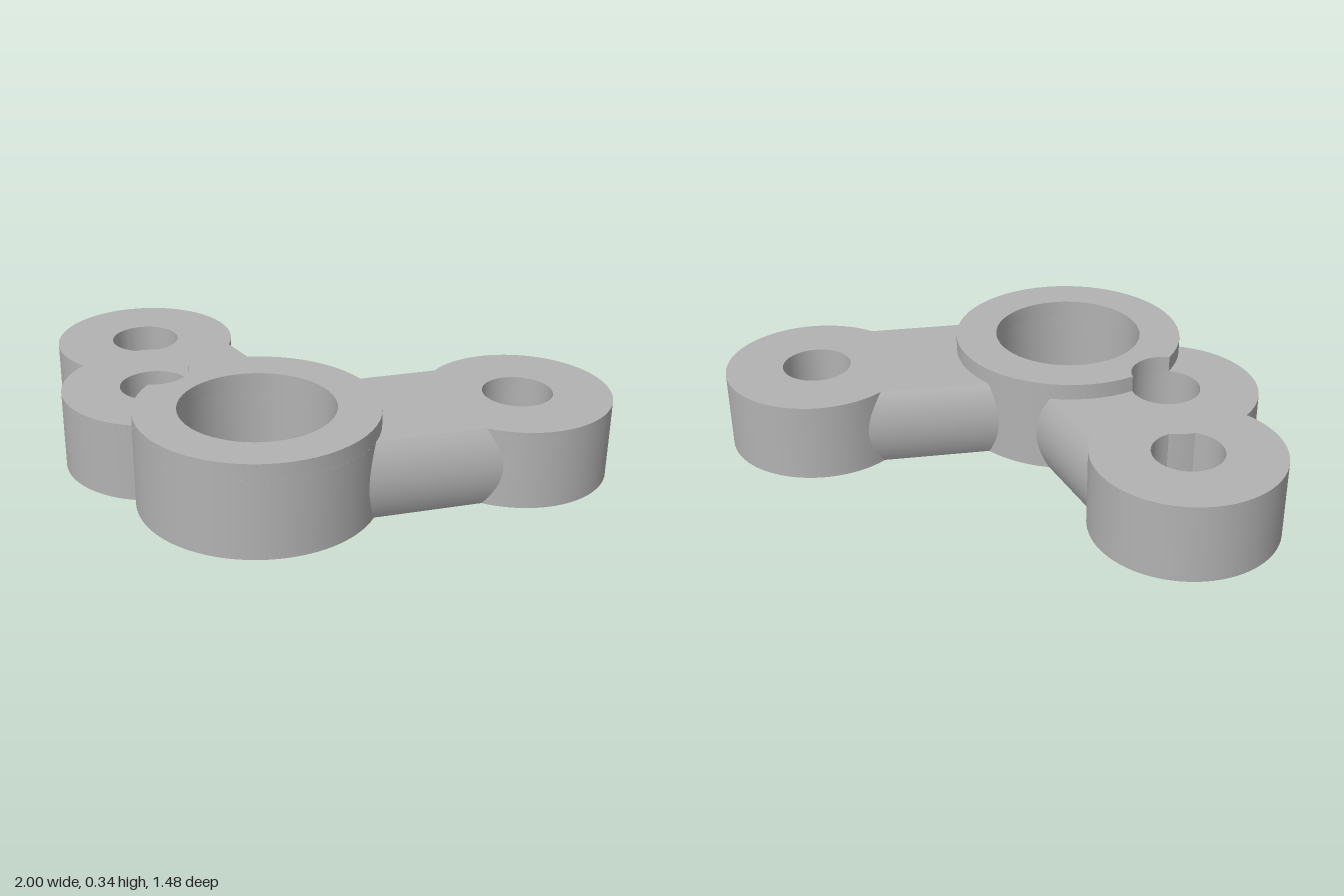
import * as THREE from 'three';
import { mergeGeometries, toCreasedNormals } from 'three/addons/utils/BufferGeometryUtils.js';

const PLATE_H = 0.28, BOSS_H = 0.337, ARM_R = 0.281, SEG = 56;
const disc = (x, z, r) => ({ x, z, r });

// Plan layout: discs in x, z
const boss = disc(0.117, 0.327, 0.413), bore = disc(0.117, 0.327, 0.266);
const rightLug = disc(-0.675, 0.035, 0.325), rightHole = disc(-0.675, 0.035, 0.122);
const midLug = disc(-0.35, 0.325, 0.325), midHole = disc(-0.35, 0.325, 0.122);
const leftLug = disc(0.675, -0.415, 0.325), leftHole = disc(0.675, -0.415, 0.122);

const angleTo = (a, b) => Math.atan2(b.z - a.z, b.x - a.x);

// Half angle on disc a at which its rim meets the rim of disc b
function meet(a, b) {
  const d = Math.hypot(b.x - a.x, b.z - a.z);
  return Math.acos((d * d + a.r * a.r - b.r * b.r) / (2 * d * a.r));
}

function arc(c, a0, a1, n = SEG) {
  return Array.from({ length: n + 1 }, (_, i) => {
    const t = a0 + (a1 - a0) * i / n;
    return new THREE.Vector2(c.x + c.r * Math.cos(t), c.z + c.r * Math.sin(t));
  });
}

// Arc walked in the direction of growing angle
function arcUp(c, a0, a1) {
  while (a1 < a0) a1 += 2 * Math.PI;
  while (a1 - a0 > 2 * Math.PI) a1 -= 2 * Math.PI;
  return arc(c, a0, a1);
}

// Drop repeated points where arcs join
const clean = pts => pts.filter((p, i) => p.distanceTo(pts[(i + 1) % pts.length]) > 1e-5);
const circle = c => clean(arc(c, 0, 2 * Math.PI));

// Disc a with the overlap of disc b removed
function bite(a, b) {
  const t = angleTo(a, b), u = angleTo(b, a), m = meet(a, b), n = meet(b, a);
  return clean([...arcUp(a, t + m, t - m), ...arc(b, u + n, u - n, 10)]);
}

// Outline of the plate at height y; the arms are round-sided bars
function plateOutline(y) {
  const w = Math.sqrt(ARM_R ** 2 - (y - PLATE_H / 2) ** 2);
  const toLeft = angleTo(boss, leftLug), toRight = angleTo(boss, rightLug);
  const atBoss = Math.asin(w / boss.r), atLug = Math.asin(w / leftLug.r);
  return clean([
    ...arcUp(boss, toLeft + atBoss, angleTo(boss, midLug) - meet(boss, midLug)),
    ...arcUp(midLug, angleTo(midLug, boss) + meet(midLug, boss),
      angleTo(midLug, rightLug) - meet(midLug, rightLug)),
    ...arcUp(rightLug, angleTo(rightLug, midLug) + meet(rightLug, midLug),
      toRight + Math.PI - atLug),
    ...arcUp(boss, toRight + atBoss, toLeft - atBoss),
    ...arcUp(leftLug, toLeft + Math.PI + atLug, toLeft + Math.PI - atLug),
  ]);
}

// Wall through rings of equal point count, one ring per height
function wall(ringAt, heights) {
  const rings = heights.map(ringAt), n = rings[0].length, pos = [], index = [];
  rings.forEach((ring, k) => ring.forEach(p => pos.push(p.x, heights[k], p.y)));
  for (let k = 0; k + 1 < rings.length; k++) {
    for (let i = 0; i < n; i++) {
      const a = k * n + i, b = k * n + (i + 1) % n;
      index.push(a, a + n, b + n, a, b + n, b);
    }
  }
  const g = new THREE.BufferGeometry();
  g.setAttribute('position', new THREE.Float32BufferAttribute(pos, 3));
  g.setIndex(index);
  return g.toNonIndexed();
}

// Flat face with holes, looking up (side 1) or down (side -1)
function cap(ring, holes, y, side) {
  const flip = pts => pts.map(p => new THREE.Vector2(p.x, -side * p.y));
  const shape = new THREE.Shape(flip(ring));
  shape.holes = holes.map(h => new THREE.Path(flip(h)));
  const g = new THREE.ShapeGeometry(shape).toNonIndexed();
  g.rotateX(-side * Math.PI / 2).translate(0, y, 0);
  g.deleteAttribute('normal');
  g.deleteAttribute('uv');
  return g;
}

function solid(name, ringAt, holes, y0, y1, steps, material) {
  const heights = Array.from({ length: steps + 1 }, (_, i) => y0 + (y1 - y0) * i / steps);
  const parts = [
    wall(ringAt, heights),
    ...holes.map(h => wall(() => [...h].reverse(), [y0, y1])),
    cap(ringAt(y0), holes, y0, -1),
    cap(ringAt(y1), holes, y1, 1),
  ];
  const mesh = new THREE.Mesh(toCreasedNormals(mergeGeometries(parts), 0.45), material);
  mesh.name = name;
  return mesh;
}

export function createModel() {
  const group = new THREE.Group();
  group.name = 'leverBracket';
  const metal = new THREE.MeshStandardMaterial({ color: 0xb2b2b2 });
  metal.name = 'grey metal';

  // Lugs, arms and lower boss in one plate; the middle lug nicks the right hole
  const holes = [circle(bore), circle(midHole), circle(leftHole), bite(rightHole, midLug)];
  group.add(solid('lugPlate', plateOutline, holes, 0, PLATE_H, 16, metal));

  // Raised boss rim, notched by the middle hole
  const rim = bite(boss, midHole);
  group.add(solid('bossRim', () => rim, [circle(bore)], PLATE_H, BOSS_H, 1, metal));
  return group;
}
